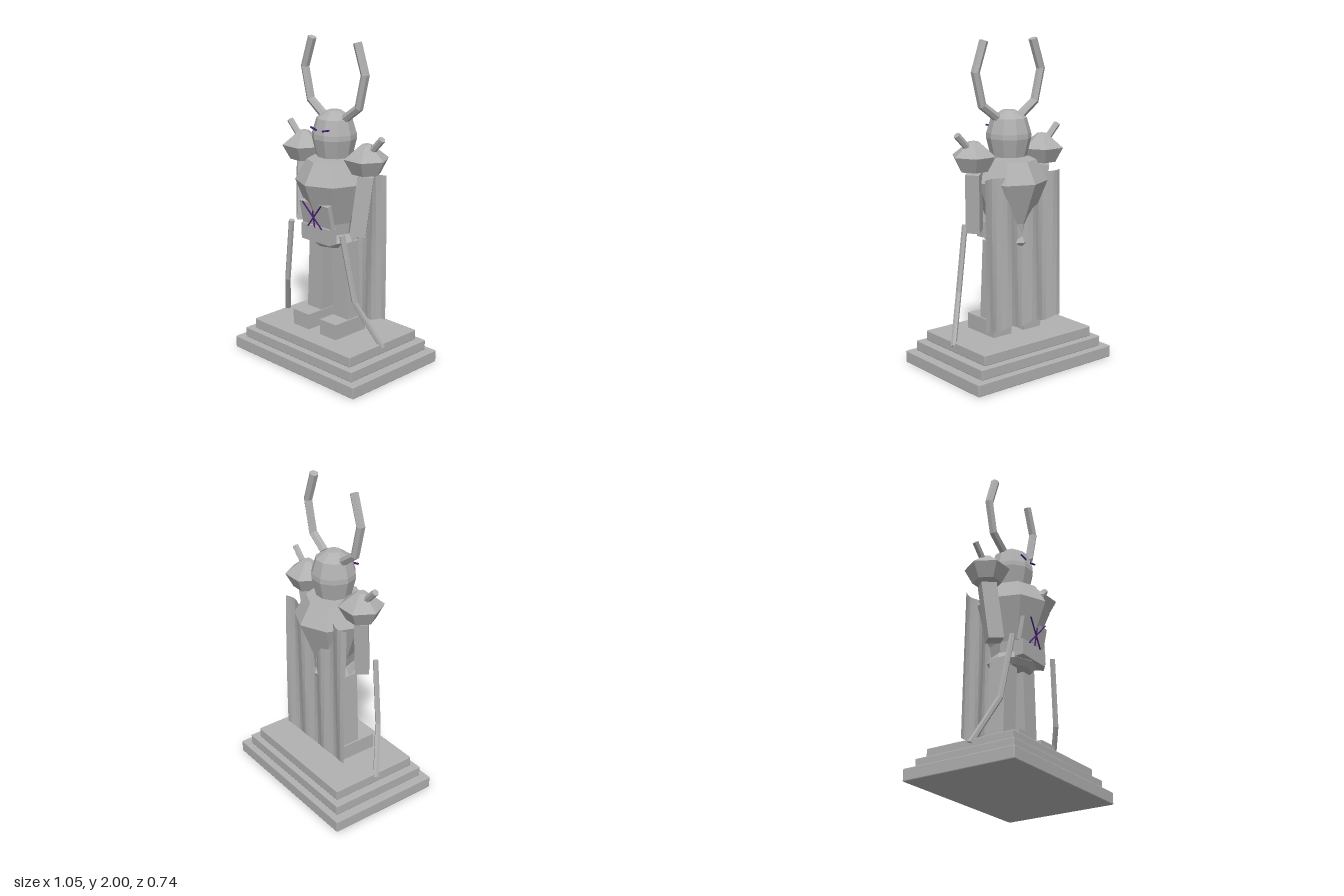
import * as THREE from 'three';
import { RoundedBoxGeometry } from 'three/addons/geometries/RoundedBoxGeometry.js';

const V = (x, y, z) => new THREE.Vector3(x, y, z);

// Polyline with mitred corners, used as a tube path
class Polyline extends THREE.Curve {
  constructor(points) { super(); this.points = points; }
  getPoint(t, target = V(0, 0, 0)) {
    const n = this.points.length - 1, s = t * n, i = Math.min(Math.floor(s), n - 1);
    return target.lerpVectors(this.points[i], this.points[i + 1], s - i);
  }
  getPointAt(t, target) { return this.getPoint(t, target); }
  getTangentAt(t, target = V(0, 0, 0)) {
    const p = this.points, n = p.length - 1, i = Math.round(t * n);
    const dir = k => p[k + 1].clone().sub(p[k]).normalize();
    return target.copy(dir(Math.max(i - 1, 0))).add(dir(Math.min(i, n - 1))).normalize();
  }
}

export function createModel() {
  const model = new THREE.Group();
  const stone = new THREE.MeshStandardMaterial({ color: 0xb0b0b0, flatShading: true, side: THREE.DoubleSide });
  stone.name = 'stone grey';
  const purple = new THREE.MeshStandardMaterial({ color: 0x4b1a78, flatShading: true });
  purple.name = 'dark purple';

  const add = (name, geometry, material = stone, parent = model) => {
    const mesh = new THREE.Mesh(geometry, material);
    mesh.name = name;
    parent.add(mesh);
    return mesh;
  };
  const box = (name, w, h, d, x, y, z) => {
    const mesh = add(name, new THREE.BoxGeometry(w, h, d));
    mesh.position.set(x, y, z);
    return mesh;
  };
  // Faceted solid of revolution from [radius, y] pairs, bottom to top
  const turned = (name, profile, sides, start = 0) => {
    const pts = [[0, profile[0][1]], ...profile, [0, profile.at(-1)[1]]];
    return add(name, new THREE.LatheGeometry(pts.map(p => new THREE.Vector2(...p)), sides, start));
  };
  // Straight bar between two points
  const rod = (name, a, b, r, sides, material = stone) => {
    const d = b.clone().sub(a);
    const mesh = add(name, new THREE.CylinderGeometry(r, r, d.length(), sides), material);
    mesh.position.copy(a).add(b).multiplyScalar(0.5);
    mesh.quaternion.setFromUnitVectors(V(0, 1, 0), d.normalize());
    return mesh;
  };
  // Bent bar with closed ends
  const bentRod = (name, points, r, sides) => {
    const group = new THREE.Group();
    group.name = name;
    model.add(group);
    add(name + 'Shaft', new THREE.TubeGeometry(new Polyline(points), points.length - 1, r, sides), stone, group);
    [[points[0], points[1]], [points.at(-1), points.at(-2)]].forEach(([end, inner]) => {
      const cap = add(name + 'Cap', new THREE.CircleGeometry(r, sides), stone, group);
      cap.position.copy(end);
      cap.quaternion.setFromUnitVectors(V(0, 0, 1), end.clone().sub(inner).normalize());
    });
  };

  // Stepped plinth
  [[1.05, 0, 0.075, 0.74], [0.94, 0.075, 0.14, 0.66], [0.84, 0.14, 0.205, 0.585]].forEach(([w, y0, y1, d], i) => {
    const step = add('plinthStep' + (i + 1), new RoundedBoxGeometry(w, y1 - y0, d, 1, 0.005));
    step.position.y = (y0 + y1) / 2;
  });

  // Torso, waist and hips
  turned('torso', [[0.11, 0.77], [0.13, 0.9], [0.228, 1.155], [0.16, 1.28]], 8).scale.z = 1.08;
  turned('hips', [[0.125, 0.75], [0.155, 0.785], [0.13, 0.83]], 8).scale.z = 0.96;
  box('belt', 0.24, 0.1, 0.06, 0, 0.837, 0.132);
  box('chestPlate', 0.245, 0.15, 0.03, 0, 0.96, 0.147).rotation.x = 0.2;

  // Star emblem on the chest
  const star = (x, y) => V(x, y, 0.178 + (y - 0.95) * 0.16);
  [[-0.08, 1.035, 0.06, 0.878], [0.08, 1.035, -0.06, 0.878], [0, 0.99, 0, 0.88]].forEach(([x0, y0, x1, y1]) =>
    rod('emblemRay', star(x0, y0), star(x1, y1), 0.0045, 6, purple));

  // Helmet
  turned('helmet', [[0.11, 1.3], [0.137, 1.41], [0.135, 1.44], [0.108, 1.53], [0.04, 1.575]], 10, Math.PI / 10);

  for (const s of [-1, 1]) {
    const side = s > 0 ? 'left' : 'right';

    // Eye slit
    rod(side + 'Eye', V(s * 0.025, 1.467, 0.124), V(s * 0.077, 1.479, 0.122), 0.006, 6, purple);

    // Horn
    bentRod(side + 'Horn', [V(s * 0.09, 1.535, 0), V(s * 0.202, 1.615, 0), V(s * 0.25, 1.81, 0), V(s * 0.187, 1.99, 0)], 0.027, 6);

    // Shoulder guard and spike
    turned(side + 'ShoulderGuard', [[0.088, 1.235], [0.137, 1.325], [0.03, 1.41]], 6, Math.PI / 6 * 3)
      .position.x = s * 0.265;
    rod(side + 'ShoulderSpike', V(s * 0.27, 1.335, 0), V(s * 0.389, 1.458, 0), 0.021, 6);

    // Arm
    const arm = new THREE.Group();
    arm.name = side + 'Arm';
    arm.position.set(s * 0.25, 1.04, 0.02);
    arm.quaternion.setFromUnitVectors(V(0, 1, 0), V(s * 0.03, 0.36, -0.035).normalize());
    model.add(arm);
    add(side + 'ArmBlock', new THREE.BoxGeometry(0.095, 0.365, 0.085), stone, arm).rotation.y = s * 0.7;

    // Leg and boot
    box(side + 'Leg', 0.122, 0.49, 0.112, s * 0.105, 0.54, 0.005).rotation.z = s * 0.045;
    box(side + 'Boot', 0.138, 0.098, 0.26, s * 0.118, 0.254, 0.045);

    // Bent hanging staff
    bentRod(side + 'Staff', [V(s * 0.22, 0.875, 0.153), V(s * 0.295, 0.465, 0.122), V(s * 0.42, 0.18, 0.01)], 0.018, 6);
  }

  // Cape with soft folds and a ragged hem
  const cape = new THREE.PlaneGeometry(0.59, 1, 18, 8);
  const pos = cape.attributes.position;
  for (let i = 0; i < pos.count; i++) {
    const x = pos.getX(i), down = 0.5 - pos.getY(i);
    const wave = Math.cos(x * 34);
    pos.setXYZ(i, x, 1.2 - down * (0.935 + 0.014 * wave), -0.137 + 0.013 * Math.sin(x * 34 + down * 1.5));
  }
  add('cape', cape);

  return model;
}
